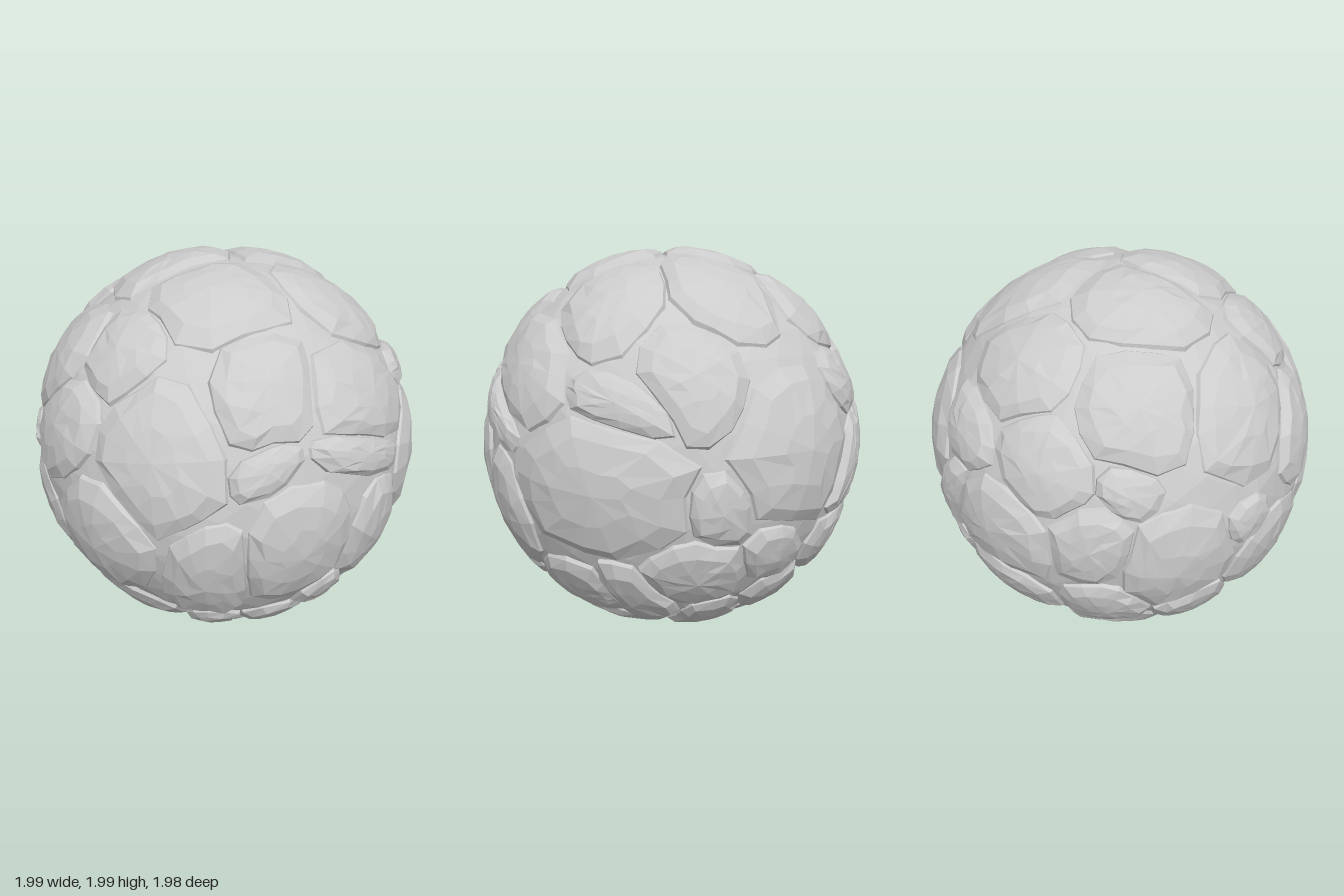
import * as THREE from 'three';

// Small seeded noise so the stone stays the same on every run
let seed = 7;
const jitter = (amount) => {
  seed = (seed * 16807) % 2147483647;
  return (seed / 2147483647 - 0.5) * 2 * amount;
};

// A plate lies across a direction on the ball, with half sizes along two tangents
function makePlate(centre, across, width, height, tilt = 0) {
  const tx = across.clone().addScaledVector(centre, -across.dot(centre)).normalize()
    .applyAxisAngle(centre, THREE.MathUtils.degToRad(tilt));
  return { centre, tx, ty: centre.clone().cross(tx), width, height };
}

// Main plates by side: [across, up, half width, half height, tilt in degrees]
const sides = [
  { azimuth: 0, elevation: 0, plates: [ // front
    [0.6, 0.02, 0.44, 0.3], [0.6, 0.42, 0.3, 0.1, 6], [0.04, 0.5, 0.34, 0.26, -12],
    [-0.11, 0.27, 0.29, 0.09, -24], [-0.47, -0.14, 0.25, 0.32], [0, -0.25, 0.18, 0.32],
    [0.33, -0.6, 0.3, 0.22], [-0.77, -0.3, 0.18, 0.36, 18], [-0.3, -0.73, 0.2, 0.15, -10],
    [-0.58, 0.31, 0.17, 0.09, 14],
  ] },
  { azimuth: 90, elevation: 0, plates: [ // +x side
    [0.14, 0.17, 0.38, 0.35], [-0.36, -0.42, 0.23, 0.2], [0.53, 0, 0.12, 0.31, -32],
    [-0.55, -0.6, 0.29, 0.16, -32], [0.12, -0.62, 0.17, 0.19, 25],
  ] },
  { azimuth: 0, elevation: 90, plates: [ // top
    [-0.1, 0.25, 0.32, 0.26], [0.46, -0.02, 0.35, 0.26, -14], [-0.3, -0.17, 0.28, 0.35, 10],
    [-0.12, 0.73, 0.25, 0.25], [-0.61, 0.54, 0.26, 0.32, -25], [0.42, 0.5, 0.26, 0.24, -12],
  ] },
  { azimuth: 212, elevation: 21, plates: [ // back towards -x
    [-0.24, -0.45, 0.28, 0.32], [0.15, -0.3, 0.12, 0.11], [0.36, -0.59, 0.25, 0.28, -25],
    [0.6, 0.05, 0.2, 0.3, -22],
  ] },
  { azimuth: 148, elevation: -21, plates: [ // back towards +x
    [-0.06, 0.35, 0.34, 0.25], [0.44, 0.35, 0.21, 0.23], [-0.09, -0.1, 0.27, 0.18],
    [0.45, -0.11, 0.2, 0.21],
  ] },
  { azimuth: 0, elevation: -90, plates: [[0, 0, 0.27, 0.22]] }, // underside
];

function mainPlates() {
  return sides.flatMap(({ azimuth, elevation, plates }) => {
    const a = THREE.MathUtils.degToRad(azimuth), e = THREE.MathUtils.degToRad(elevation);
    const out = new THREE.Vector3(Math.sin(a) * Math.cos(e), Math.sin(e), Math.cos(a) * Math.cos(e));
    const right = new THREE.Vector3(Math.cos(a), 0, -Math.sin(a));
    const up = out.clone().cross(right);
    return plates.map(([u, v, width, height, tilt]) => {
      const centre = out.clone().multiplyScalar(Math.sqrt(0.96 - u * u - v * v))
        .addScaledVector(right, u).addScaledVector(up, v).normalize();
      return makePlate(centre, right, width, height, tilt);
    });
  });
}

// Distance from a plate's centre to its rim, towards a point on the ball
function reach(point, { tx, ty, width, height }) {
  const x = point.dot(tx), y = point.dot(ty);
  return Math.hypot(x, y) / (Math.hypot(x / width, y / height) + 1e-6) + 1e-6;
}

// Fill the remaining gaps, widest first, with plates sized to the free space
function fillGaps(plates) {
  const count = 900, golden = Math.PI * (3 - Math.sqrt(5));
  const spots = Array.from({ length: count }, (_, i) => {
    const y = 1 - (2 * i + 1) / count, r = Math.sqrt(1 - y * y);
    return new THREE.Vector3(r * Math.cos(i * golden), y, r * Math.sin(i * golden));
  });
  const across = new THREE.Vector3(0.3, 1, 0.2);
  const filled = [...plates];
  for (;;) {
    let best = null, room = 0.115;
    for (const spot of spots) {
      const free = Math.min(...filled.map((p) => spot.angleTo(p.centre) - reach(spot, p)));
      if (free > room) [best, room] = [spot, free];
    }
    if (!best) return filled;
    const size = Math.min(room, 0.28);
    filled.push(makePlate(best, across, size * 1.2, size * 0.95, jitter(50)));
  }
}

const onBall = ({ centre, tx, ty }, x, y) =>
  centre.clone().addScaledVector(tx, x).addScaledVector(ty, y).normalize();

// Rounded-square outline, each corner grown until it meets a neighbour
function plateOutline(plate, plates) {
  const n = Math.max(plate.width, plate.height) > 0.2 ? 14 : 10;
  const near = plates.filter((p) => p !== plate && p.centre.angleTo(plate.centre) < 1.3);
  return Array.from({ length: n }, (_, i) => {
    const a = ((i + jitter(0.2)) / n) * Math.PI * 2, c = Math.cos(a), s = Math.sin(a);
    const k = 1 / Math.pow(Math.abs(c) ** 2.5 + Math.abs(s) ** 2.5, 1 / 2.5);
    const x = c * k * plate.width, y = s * k * plate.height;
    const limit = 1.28 + jitter(0.05);
    let grow = 0.6;
    while (grow < limit) {
      const point = onBall(plate, x * grow, y * grow);
      if (near.some((p) => point.angleTo(p.centre) / reach(point, p) < grow)) break;
      grow += 0.02;
    }
    return [x * grow, y * grow];
  });
}

// One faceted plate: rings shrinking from a sunken foot to a domed top
function plateGeometry(plate, plates) {
  const outline = plateOutline(plate, plates), n = outline.length;
  const positions = [], index = [];
  const add = (x, y, radius) => positions.push(...onBall(plate, x, y).multiplyScalar(radius));
  const rings = [[1.03, 0.925], [0.93, 0.965], [0.7, 0.987], [0.36, 0.994]];
  rings.forEach(([scale, radius], ring) => outline.forEach(([x, y]) => {
    const s = scale + (ring > 1 ? jitter(0.06) : 0);
    add(x * s, y * s, radius + jitter(0.004));
  }));
  add(0, 0, 1);
  const last = rings.length - 1;
  for (let i = 0; i < n; i++) {
    const j = (i + 1) % n;
    for (let k = 0; k < last; k++) {
      const a = k * n + i, b = k * n + j;
      index.push(a, b, b + n, a, b + n, a + n);
    }
    index.push(last * n + i, last * n + j, rings.length * n);
  }
  const geometry = new THREE.BufferGeometry();
  geometry.setAttribute('position', new THREE.Float32BufferAttribute(positions, 3));
  geometry.setIndex(index);
  geometry.computeVertexNormals();
  return geometry;
}

// Core showing in the cracks, gently uneven by a smooth rule
function coreGeometry() {
  const geometry = new THREE.IcosahedronGeometry(0.954, 6);
  const pos = geometry.attributes.position, p = new THREE.Vector3();
  for (let i = 0; i < pos.count; i++) {
    p.fromBufferAttribute(pos, i);
    p.multiplyScalar(1 + 0.008 * Math.sin(p.x * 9 + p.y * 5) * Math.cos(p.z * 8 - p.y * 6));
    pos.setXYZ(i, p.x, p.y, p.z);
  }
  geometry.computeVertexNormals();
  return geometry;
}

export function createModel() {
  seed = 7;
  const material = new THREE.MeshStandardMaterial({ color: 0xcccccc, flatShading: true });
  const boulder = new THREE.Group();
  boulder.name = 'crackedBoulder';
  const addPart = (geometry, name) => {
    const mesh = new THREE.Mesh(geometry, material);
    mesh.name = name;
    mesh.position.y = 1;
    boulder.add(mesh);
  };
  addPart(coreGeometry(), 'core');
  const plates = fillGaps(mainPlates());
  for (const plate of plates) addPart(plateGeometry(plate, plates), 'stonePlate');
  return boulder;
}
